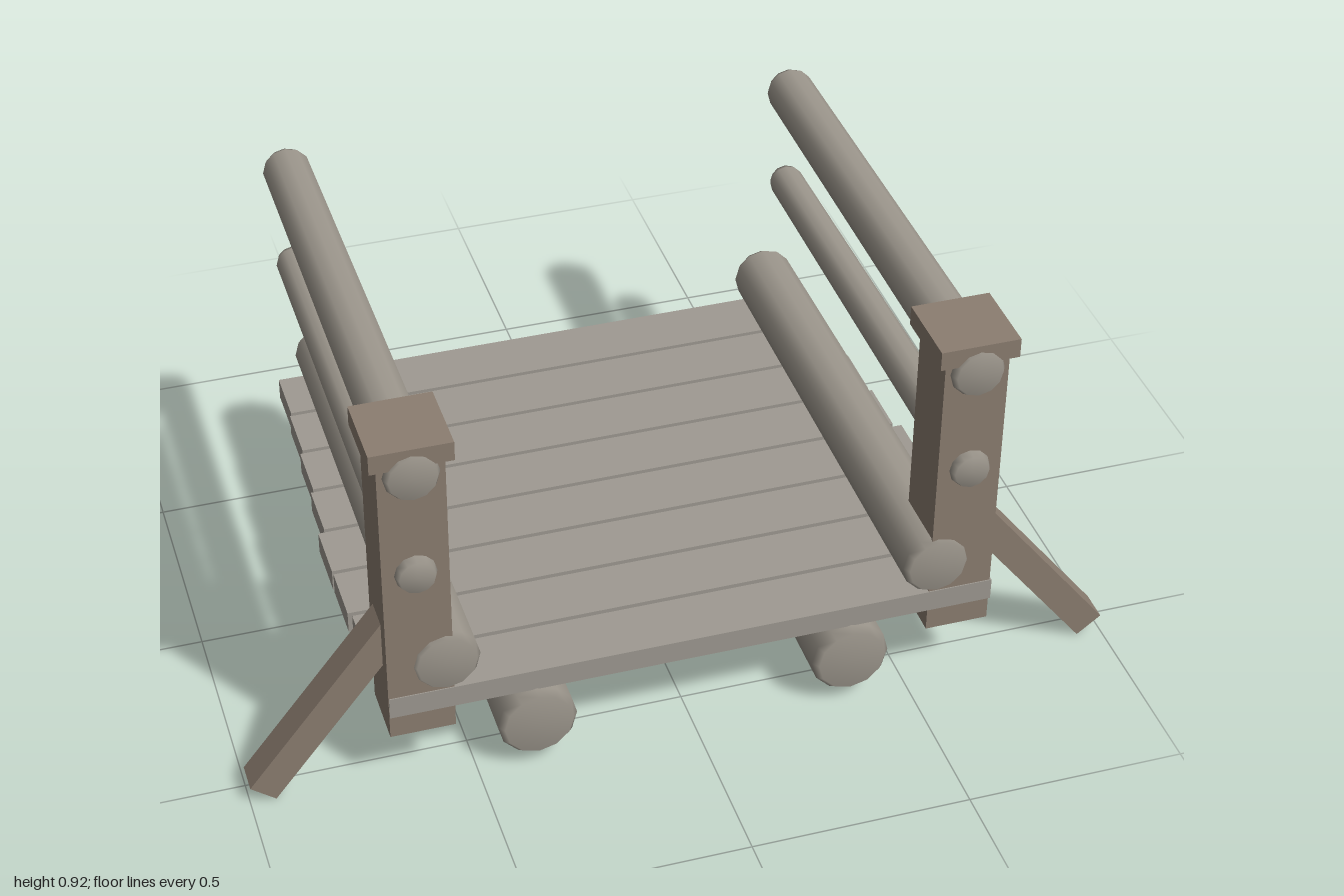
import * as THREE from 'three';

const logWood = new THREE.MeshStandardMaterial({ color: 0x9d978d });
logWood.name = 'weathered log';
const plankWood = new THREE.MeshStandardMaterial({ color: 0x9f9a92 });
plankWood.name = 'grey plank';
const postWood = new THREE.MeshStandardMaterial({ color: 0x8c7e71 });
postWood.name = 'brown post';

function box(name, material, size, position) {
  const mesh = new THREE.Mesh(new THREE.BoxGeometry(...size), material);
  mesh.name = name;
  mesh.position.set(...position);
  return mesh;
}

// Log along z, thicker at the front, with softened ends
function log(name, x, y, frontRadius, backRadius, half) {
  const profile = [
    [0, -half], [backRadius * 0.86, -half], [backRadius, -half + 0.016],
    [frontRadius, half - 0.016], [frontRadius * 0.86, half], [0, half],
  ].map(([r, h]) => new THREE.Vector2(r, h));
  const geometry = new THREE.LatheGeometry(profile, 12);
  geometry.rotateX(Math.PI / 2);
  const mesh = new THREE.Mesh(geometry, logWood);
  mesh.name = name;
  mesh.position.set(x, y, 0);
  return mesh;
}

export function createModel() {
  const model = new THREE.Group();
  model.name = 'logBridge';

  // Deck planks from back to front: [left end, right end]
  const ends = [
    [-0.675, 0.672], [-0.68, 0.678], [-0.688, 0.684], [-0.696, 0.69],
    [-0.712, 0.708], [-0.711, 0.706], [-0.703, 0.704], [-0.69, 0.695],
  ];
  ends.forEach(([a, b], i) => {
    model.add(box('deckPlank', plankWood, [b - a, 0.053, 0.141],
      [(a + b) / 2, 0.232, -0.534 + i * 0.152]));
  });

  for (const s of [-1, 1]) {
    const side = new THREE.Group();
    side.name = s > 0 ? 'leftSide' : 'rightSide';

    // Logs
    side.add(log('supportLog', s * 0.363, 0.118, 0.09, 0.084, 0.618));
    side.add(log('curbLog', s * 0.56, 0.333, 0.077, 0.072, 0.606));
    side.add(log('middleRail', s * 0.618, 0.593, 0.046, 0.041, 0.618));
    side.add(log('topRail', s * 0.618, 0.853, 0.061, 0.056, 0.618));

    // Post and cap
    side.add(box('post', postWood, [0.146, 0.73, 0.146], [s * 0.618, 0.515, 0.525]));
    side.add(box('postCap', postWood, [0.18, 0.046, 0.18], [s * 0.618, 0.902, 0.522]));

    // Diagonal brace, from the ground up into the post
    const brace = box('brace', postWood, [0.07, 0.51, 0.072], [s * 0.813, 0.225, 0.524]);
    brace.rotation.z = s * 0.665;
    side.add(brace);

    model.add(side);
  }
  return model;
}
